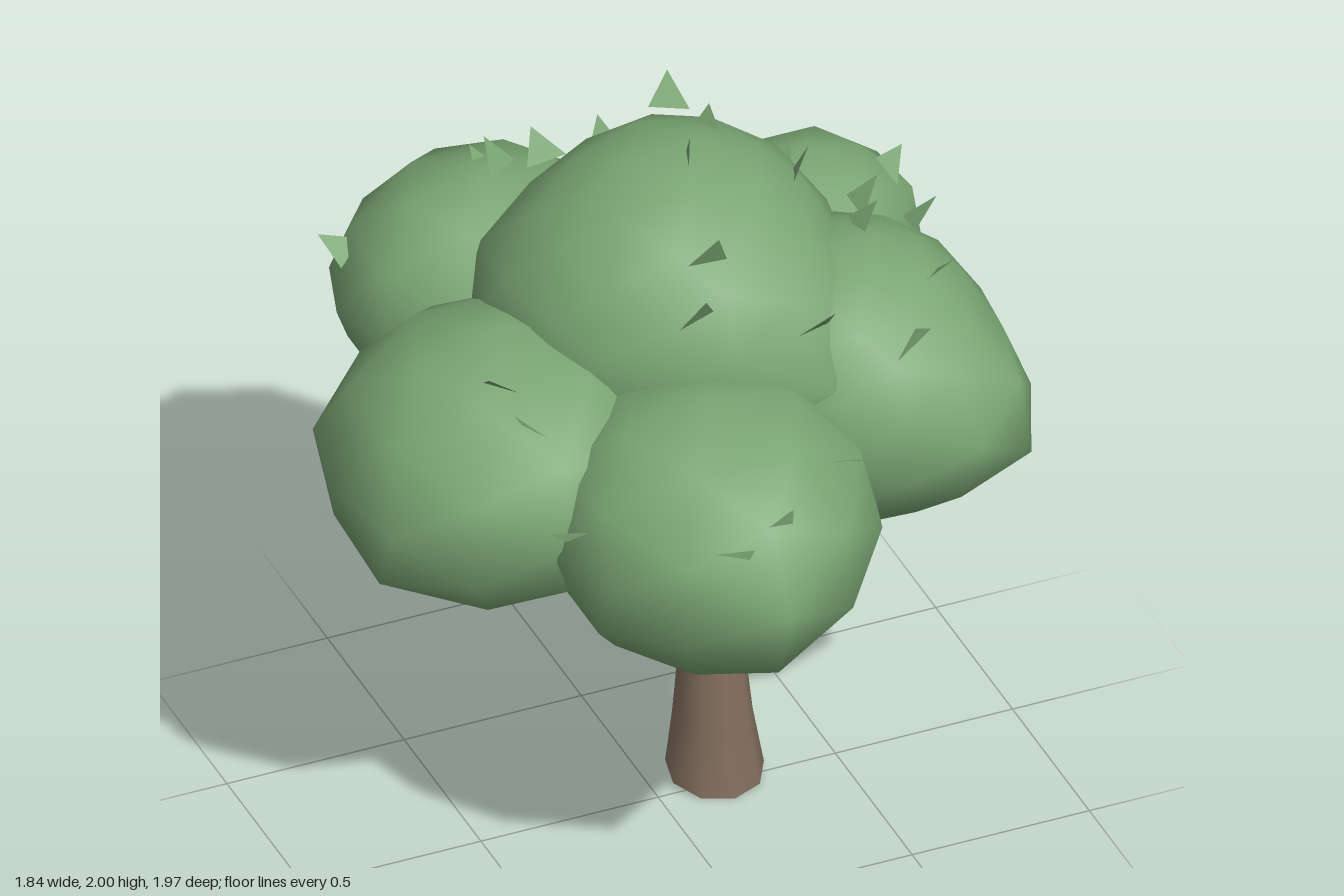
import * as THREE from 'three';
import { mergeVertices } from 'three/addons/utils/BufferGeometryUtils.js';

const V = (x, y, z) => new THREE.Vector3(x, y, z);

// Faceted ellipsoid with smooth normals; each pull is a unit-space point the surface
// stretches out to (or sinks in to, when it lies inside the unit sphere)
function lobeGeometry(center, radii, detail, pulls) {
  let g = new THREE.IcosahedronGeometry(1, detail);
  g.deleteAttribute('normal');
  g.deleteAttribute('uv');
  g = mergeVertices(g, 1e-4);
  const p = g.attributes.position, v = V(), r = V(...radii);
  for (let i = 0; i < p.count; i++) {
    v.fromBufferAttribute(p, i).normalize();
    let s = 1;
    for (const q of pulls) {
      const tip = V(...q), reach = tip.length() - 1;
      s += reach * Math.pow(Math.max(0, v.dot(tip.normalize())), 9);
    }
    v.multiplyScalar(s).multiply(r);
    p.setXYZ(i, v.x + center[0], v.y + center[1], v.z + center[2]);
  }
  g.computeVertexNormals();
  return g;
}

// Round limb lofted through rings given as [x, y, z, radius]
function limbGeometry(rings, sides, baseTilt = 0) {
  const pos = [], idx = [], n = rings.length;
  rings.forEach(([x, y, z, r], k) => {
    for (let i = 0; i < sides; i++) {
      const a = (i / sides) * Math.PI * 2, dz = Math.cos(a) * r;
      pos.push(x + Math.sin(a) * r, y - (k === 0 ? dz * baseTilt : 0), z + dz);
    }
  });
  for (let k = 0; k < n - 1; k++) {
    for (let i = 0; i < sides; i++) {
      const a = k * sides + i, b = k * sides + (i + 1) % sides;
      idx.push(a, b, b + sides, a, b + sides, a + sides);
    }
  }
  // End caps use their own vertices so their edges stay sharp
  for (const k of [0, n - 1]) {
    const start = pos.length / 3;
    pos.push(...pos.slice(k * sides * 3, (k + 1) * sides * 3));
    for (let i = 1; i < sides - 1; i++) {
      if (k === 0) idx.push(start, start + i + 1, start + i);
      else idx.push(start, start + i, start + i + 1);
    }
  }
  const g = new THREE.BufferGeometry();
  g.setAttribute('position', new THREE.Float32BufferAttribute(pos, 3));
  g.setIndex(idx);
  g.computeVertexNormals();
  return g;
}

// Single triangular leaf pointing away from the heart of the crown
function leafGeometry(x, y, z, i) {
  const c = V(x, y, z);
  const out = c.clone().sub(V(0, 1.0, -0.1)).normalize();
  const side = V(0, 1, 0).cross(out).normalize().applyAxisAngle(out, 0.35 * Math.sin(i * 2.3));
  const at = (s, o) => c.clone().addScaledVector(side, s).addScaledVector(out, o);
  const g = new THREE.BufferGeometry().setFromPoints([at(-0.055, -0.045), at(0.055, -0.045), at(0.012, 0.055)]);
  g.computeVertexNormals();
  return g;
}

export function createModel() {
  const tree = new THREE.Group();
  tree.name = 'tree';
  const green = new THREE.MeshStandardMaterial({ color: 0x7aa573 });
  green.name = 'foliageGreen';
  green.side = THREE.DoubleSide;
  const brown = new THREE.MeshStandardMaterial({ color: 0x857160 });
  brown.name = 'barkBrown';

  const add = (name, geometry, material, parent = tree) => {
    const m = new THREE.Mesh(geometry, material);
    m.name = name;
    parent.add(m);
  };

  // Trunk and branches
  add('trunk', limbGeometry([
    [0.18, 0.02, -0.045, 0.13], [0.168, 0.2, -0.032, 0.106], [0.16, 0.4, -0.02, 0.088],
    [0.15, 0.6, -0.027, 0.074], [0.135, 0.8, -0.045, 0.064], [0.125, 0.97, -0.06, 0.058],
  ], 9, 0.15), brown);
  add('backBranch', limbGeometry([[0.13, 0.74, -0.06, 0.048], [0.07, 0.88, -0.18, 0.043], [-0.01, 1.06, -0.34, 0.034]], 7), brown);
  add('sideBranch', limbGeometry([[0.14, 0.76, -0.045, 0.045], [0.21, 0.86, -0.05, 0.047], [0.27, 0.95, -0.05, 0.042]], 7), brown);

  // Foliage lobes: name, center, radii, detail, stretched points
  const lobes = [
    ['crownLobe', [0.07, 1.5, -0.12], [0.49, 0.465, 0.48], 2,
      [[-0.92, 0.2, -0.5], [0.7, -0.17, 1.16], [-0.35, 0.4, -0.72], [-0.62, 0.68, 0]]],
    ['frontLobe', [-0.05, 1.205, 0.45], [0.45, 0.365, 0.46], 1,
      [[0.02, -0.09, 1.15], [0.6, -0.95, 0], [-0.6, -0.95, 0], [0, -0.7, 0.85]]],
    ['rightLobe', [-0.45, 1.245, 0.02], [0.46, 0.375, 0.48], 1,
      [[-0.93, -0.3, 0.58], [-0.93, -0.25, -0.5], [-0.6, -0.95, 0], [0.6, -0.85, 0.2]]],
    ['leftLobe', [0.47, 1.31, 0.13], [0.41, 0.41, 0.41], 2,
      [[0.9, -1.0, -0.2], [0.82, -0.1, 1.08], [-0.1, 0, 1.04], [0.1, -1, 0]]],
    ['leftBackLobe', [0.6, 1.33, -0.43], [0.3, 0.28, 0.3], 1,
      [[1.0, 0.35, 0.25], [0.6, 0, -0.66], [-0.1, 0.85, 0.65]]],
    ['backLobe', [0.28, 1.3, -0.48], [0.3, 0.34, 0.31], 1, [[-0.3, -0.4, -0.95], [0.5, -0.4, -0.9]]],
    ['rightBackLobe', [-0.24, 1.35, -0.57], [0.42, 0.34, 0.37], 1, [[0.08, 0.1, -1.14], [0, 0.95, 0.5]]],
  ];
  lobes.forEach(([name, ...shape]) => add(name, lobeGeometry(...shape), green));

  // Loose leaves
  const leaves = new THREE.Group();
  leaves.name = 'looseLeaves';
  tree.add(leaves);
  [
    [-0.15, 1.37, 0.88], [-0.02, 1.42, 0.85], [0.25, 1.43, 0.68], [-0.5, 1.32, 0.56],
    [-0.58, 1.64, 0.27], [-0.54, 1.57, 0.38], [-0.04, 1.77, 0.36], [0.04, 1.87, 0.25],
    [0.28, 1.69, 0.42], [0.53, 1.59, 0.45], [0.67, 1.65, 0.27], [0.11, 1.95, -0.06],
    [0.24, 1.92, -0.22], [0.42, 1.85, -0.05], [0.55, 1.73, 0.08], [0.63, 1.67, -0.1],
    [0.81, 1.53, -0.15], [0.82, 1.54, -0.37], [0.53, 1.6, -0.4], [0.32, 1.72, -0.66],
    [0.05, 1.78, -0.47], [-0.1, 1.75, -0.53], [-0.23, 1.76, -0.53], [-0.22, 1.66, -0.64],
    [-0.62, 1.5, -0.66],
  ].forEach(([x, y, z], i) => add('leaf', leafGeometry(x, y, z, i), green, leaves));

  return tree;
}
